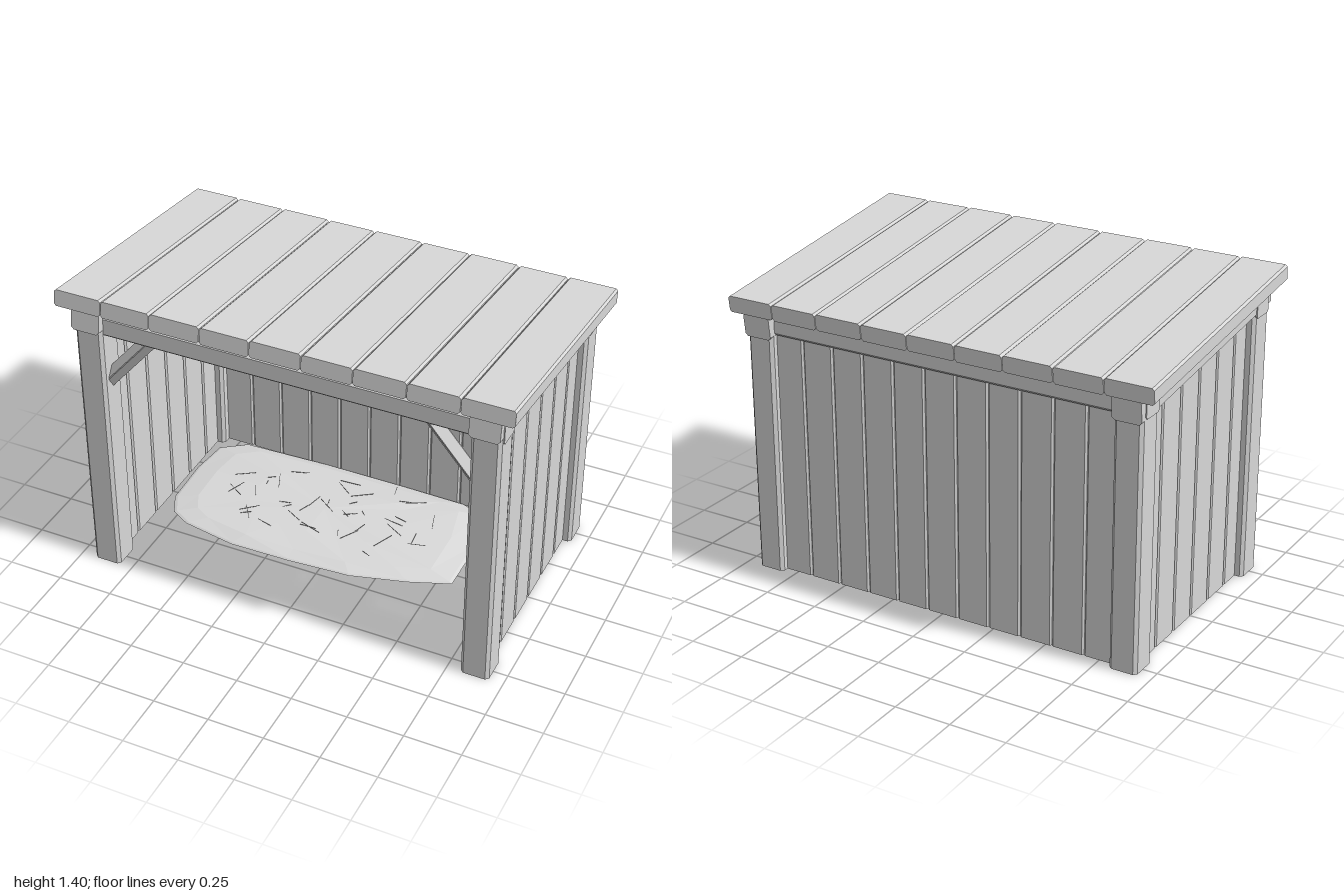
import * as THREE from 'three';

const wood = new THREE.MeshStandardMaterial({ color: 0xd8d8d8 });
wood.name = 'plain grey';

// Timber with chamfered long edges, running along local z and centred
function timberGeometry(w, h, length, c) {
  const x = w / 2, y = h / 2;
  const s = new THREE.Shape([
    [-x + c, -y], [x - c, -y], [x, -y + c], [x, y - c],
    [x - c, y], [-x + c, y], [-x, y - c], [-x, -y + c],
  ].map(([a, b]) => new THREE.Vector2(a, b)));
  return new THREE.ExtrudeGeometry(s, { depth: length, bevelEnabled: false }).translate(0, 0, -length / 2);
}

function timber(parent, name, w, h, length, c, pos, axis = 'z') {
  const g = timberGeometry(w, h, length, c);
  if (axis === 'x') g.rotateY(Math.PI / 2);
  if (axis === 'y') g.rotateX(-Math.PI / 2);
  const m = new THREE.Mesh(g, wood);
  m.name = name;
  m.position.set(...pos);
  parent.add(m);
  return m;
}

function group(parent, name) {
  const g = new THREE.Group();
  g.name = name;
  parent.add(g);
  return g;
}

function seeded(seed) {
  return () => {
    seed = (seed * 16807) % 2147483647;
    return seed / 2147483647;
  };
}

// Flat-faced straw mound: rings from the underside, round the rim, to the top
function moundGeometry() {
  const outline = [
    [0.57, 0.07], [0.39, 0.14], [0.14, 0.21], [-0.15, 0.23], [-0.43, 0.235], [-0.68, 0.19], [-0.77, 0.14],
    [-0.82, 0.04], [-0.83, -0.2], [-0.81, -0.38], [-0.7, -0.46], [-0.3, -0.475], [0.1, -0.475],
    [0.4, -0.47], [0.52, -0.43], [0.57, -0.2],
  ];
  const cx = -0.14, cz = -0.13, n = outline.length;
  const rings = [[0.88, 0], [1, 0.008], [0.98, 0.014], [0.84, 0.033], [0.5, 0.044]];
  const rand = seeded(11);
  const pos = [], idx = [];
  rings.forEach(([k, y], r) => outline.forEach(([x, z]) => {
    pos.push(cx + (x - cx) * k, y + (r > 2 ? (rand() - 0.5) * 0.008 : 0), cz + (z - cz) * k);
  }));
  const top = pos.length / 3, last = (rings.length - 1) * n;
  pos.push(cx, 0.047, cz, cx, 0, cz);
  for (let i = 0; i < n; i++) {
    const j = (i + 1) % n;
    for (let r = 0; r < last; r += n) {
      idx.push(r + i, r + j + n, r + j, r + i, r + i + n, r + j + n);
    }
    idx.push(last + i, top, last + j, i, j, top + 1);
  }
  const g = new THREE.BufferGeometry();
  g.setAttribute('position', new THREE.Float32BufferAttribute(pos, 3));
  g.setIndex(idx);
  const flat = g.toNonIndexed();
  flat.computeVertexNormals();
  return flat;
}

export function createModel() {
  const model = new THREE.Group();
  model.name = 'shelter';
  const tilt = 0.1185, slope = Math.tan(tilt);
  const sides = [-1, 1];

  // Corner posts, sloping rafters and front braces
  const frame = group(model, 'frame');
  for (const s of sides) {
    timber(frame, 'frontPost', 0.126, 0.13, 1.29, 0.014, [s * 0.8725, 0.645, 0.495], 'y');
    timber(frame, 'backPost', 0.126, 0.13, 1.175, 0.014, [s * 0.8725, 0.5875, -0.495], 'y');
    timber(frame, 'rafter', 0.13, 0.105, 1.16, 0.012, [s * 0.8725, 1.2035, 0]).rotation.x = -tilt;

    // Square braces turned so that an edge faces forward
    const a = new THREE.Vector3(s * 0.845, 0.934, 0.495), b = new THREE.Vector3(s * 0.603, 1.218, 0.495);
    const mid = a.clone().add(b).multiplyScalar(0.5);
    const brace = timber(frame, 'brace', 0.052, 0.052, a.distanceTo(b), 0.003, mid.toArray(), 'y');
    brace.geometry.rotateY(Math.PI / 4);
    brace.rotation.z = Math.atan2(a.x - b.x, b.y - a.y);
  }

  // Cross beams whose ends show on the outside of the frame
  timber(frame, 'frontBeam', 0.108, 0.093, 1.884, 0.01, [0, 1.242, 0.491], 'x');
  timber(frame, 'backBeam', 0.108, 0.093, 1.884, 0.01, [0, 1.145, -0.489], 'x');

  // Back wall boards
  const backWall = group(model, 'backWall');
  for (let i = 0; i < 11; i++) {
    timber(backWall, 'backBoard', 0.1495, 0.05, 1.13, 0.008, [(i - 5) * 0.1505, 0.565, -0.5], 'y');
  }

  // Side wall boards, shorter towards the back
  for (const s of sides) {
    const wall = group(model, s > 0 ? 'leftWall' : 'rightWall');
    for (let i = 0; i < 6; i++) {
      const z = (2.5 - i) * 0.16 + 0.003;
      const h = 1.19 + z * slope;
      timber(wall, 'sideBoard', 0.05, 0.157, h, 0.008, [s * 0.8725, h / 2, z], 'y');
    }
  }

  // Tilted roof planks
  const roof = group(model, 'roof');
  roof.position.y = 1.2915;
  roof.rotation.x = -tilt;
  const edges = [-1, -0.783, -0.561, -0.335, -0.115, 0.11, 0.331, 0.556, 0.778, 1];
  for (let i = 0; i < 9; i++) {
    const w = edges[i + 1] - edges[i];
    const x = (edges[i] + edges[i + 1]) / 2;
    timber(roof, 'roofPlank', w - 0.003, 0.073, 1.196, 0.009, [x, (i % 2) * -0.0015, 0]);
  }

  // Straw bedding with loose stalks
  const bedding = group(model, 'bedding');
  const mound = new THREE.Mesh(moundGeometry(), wood);
  mound.name = 'strawMound';
  bedding.add(mound);
  const rand = seeded(77);
  for (let i = 0; i < 42; i++) {
    const stalk = new THREE.Mesh(new THREE.BoxGeometry(0.05 + rand() * 0.06, 0.002, 0.002), wood);
    stalk.name = 'strawStalk';
    stalk.position.set(-0.58 + rand() * 0.94, 0.05 + rand() * 0.01, -0.38 + rand() * 0.48);
    stalk.rotation.set(0, rand() * Math.PI * 2, (rand() - 0.5) * 0.9, 'YXZ');
    bedding.add(stalk);
  }
  return model;
}
